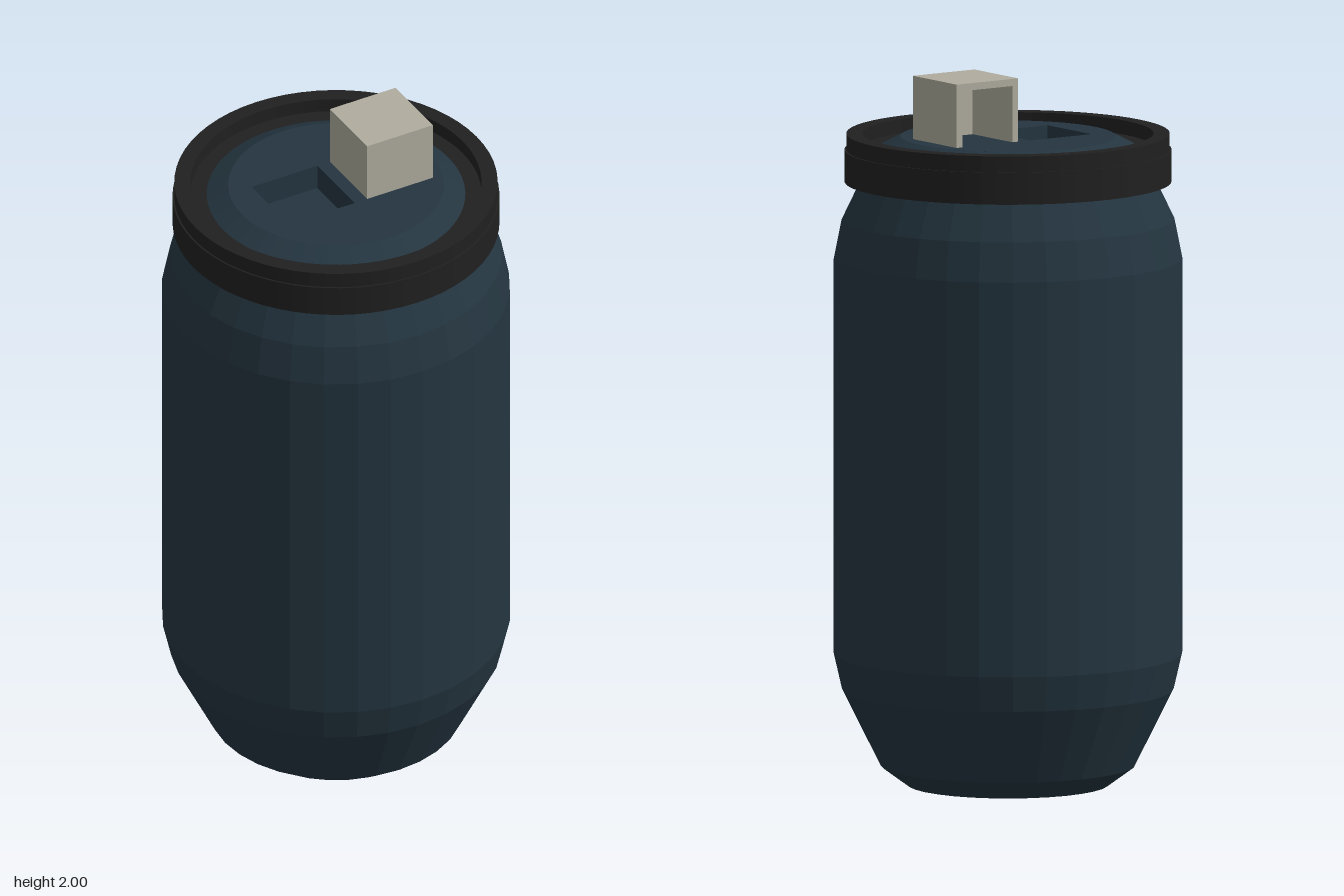
import * as THREE from 'three';

const material = (color) => new THREE.MeshStandardMaterial({ color, flatShading: true });

// Revolve a list of [radius, height] pairs around the y axis
function lathe(profile, segments) {
  return new THREE.LatheGeometry(profile.map(([r, y]) => new THREE.Vector2(r, y)), segments);
}

export function createModel() {
  const model = new THREE.Group();
  const blue = material(0x243540);
  const black = material(0x202020);
  const beige = material(0xb0ad9f);

  const add = (name, geometry, mat, parent = model) => {
    const mesh = new THREE.Mesh(geometry, mat);
    mesh.name = name;
    parent.add(mesh);
    return mesh;
  };

  // Barrel with tapered foot and rounded shoulder
  add('barrel', lathe([
    [0, 0], [0.28, 0], [0.355, 0.055], [0.462, 0.27], [0.485, 0.37],
    [0.485, 1.48], [0.463, 1.59], [0.41, 1.70], [0.4, 1.74],
  ], 32), blue);

  // Clamping ring: stepped outer wall, raised rim, lower inner ledge
  add('lidRing', lathe([
    [0.39, 1.695], [0.455, 1.695], [0.455, 1.785], [0.45, 1.785], [0.45, 1.83],
    [0.405, 1.83], [0.405, 1.79], [0.35, 1.79],
  ], 64), black);

  // Sloped edge of the lid
  add('lidSlope', lathe([[0.36, 1.79], [0.30, 1.822]], 64), blue);

  // Flat lid with a square pocket
  const pocketDepth = 0.075;
  const lidTop = 1.822;
  const size = 0.21;
  const disc = new THREE.Shape().absarc(0, 0, 0.30, 0, Math.PI * 2, false);
  disc.holes.push(new THREE.Path([
    [-size, -size / 2], [-size, size / 2], [0, size / 2], [0, -size / 2],
  ].map(([x, y]) => new THREE.Vector2(x, y))));
  const plate = new THREE.ExtrudeGeometry(disc, {
    depth: pocketDepth, bevelEnabled: false, curveSegments: 64,
  });
  plate.rotateX(-Math.PI / 2);
  add('lidPlate', plate, blue).position.y = lidTop - pocketDepth;

  const floor = new THREE.PlaneGeometry(size, size).rotateX(-Math.PI / 2);
  add('pocketFloor', floor, blue).position.set(-size / 2, lidTop - pocketDepth, 0);

  // Hollow hood on the lid, open at the back
  const hood = new THREE.Group();
  hood.name = 'hood';
  hood.position.set(0.145, lidTop, 0);
  model.add(hood);
  const height = 2 - lidTop;
  const wall = 0.02;
  const wallHeight = height - wall;
  const panel = (name, w, h, d, x, y, z) =>
    add(name, new THREE.BoxGeometry(w, h, d), beige, hood).position.set(x, y, z);
  panel('hoodTop', size, wall, size, 0, height - wall / 2, 0);
  panel('hoodFront', size - 2 * wall, wallHeight, wall, 0, wallHeight / 2, (size - wall) / 2);
  for (const side of [-1, 1]) {
    panel(side > 0 ? 'hoodLeft' : 'hoodRight', wall, wallHeight, size,
      side * (size - wall) / 2, wallHeight / 2, 0);
  }

  return model;
}
